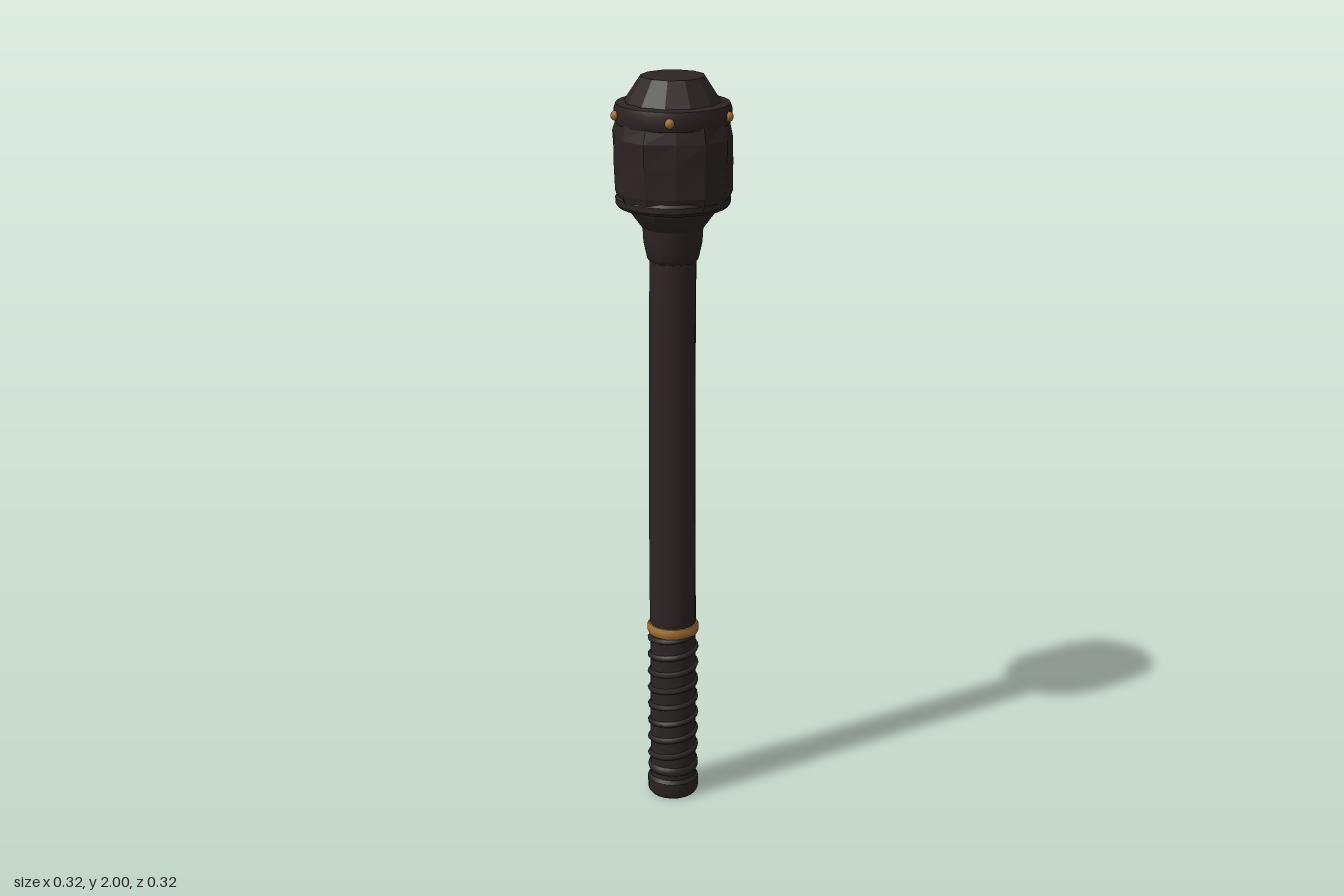
import * as THREE from 'three';
import { toCreasedNormals } from 'three/addons/utils/BufferGeometryUtils.js';

const mat = (name, color) => Object.assign(new THREE.MeshStandardMaterial({ color }), { name });

export function createModel() {
  const root = new THREE.Group();
  root.name = 'mace';
  const wood = mat('dark wood', 0x2e2424);
  const leather = mat('dark leather', 0x2c2624);
  const brass = mat('aged brass', 0xa06e32);
  const CX = -0.004;

  const add = (name, geometry, material, x = CX, y = 0, z = 0, parent = root) => {
    const m = new THREE.Mesh(geometry, material);
    m.name = name;
    m.position.set(x, y, z);
    parent.add(m);
    return m;
  };
  // Turned part from [radius, y] pairs, bottom to top
  const turned = (pts, sides, crease = 0.6) => toCreasedNormals(
    new THREE.LatheGeometry(pts.map(p => new THREE.Vector2(...p)), sides), crease);

  // Shaft with a slight bow
  const shaft = new THREE.CylinderGeometry(0.061, 0.063, 1.06, 16, 6);
  const sp = shaft.attributes.position;
  for (let i = 0; i < sp.count; i++) {
    const t = sp.getY(i) / 1.06 + 0.5;
    sp.setX(i, sp.getX(i) - 0.004 * Math.sin(Math.PI * t));
  }
  shaft.computeVertexNormals();
  add('shaft', toCreasedNormals(shaft, 0.6), wood, CX, 1.01);

  // Grip: core, spiral wrap and pommel
  add('gripCore', new THREE.CylinderGeometry(0.062, 0.062, 0.45, 20), leather, CX, 0.265);
  const spiral = [];
  const turns = 8;
  for (let i = 0; i <= turns * 14; i++) {
    const a = i / 14 * Math.PI * 2;
    spiral.push(new THREE.Vector3(0.061 * Math.sin(a), 0.085 + 0.395 * i / (turns * 14), 0.061 * Math.cos(a)));
  }
  add('gripWrap', new THREE.TubeGeometry(new THREE.CatmullRomCurve3(spiral), turns * 20, 0.009, 6), leather);
  add('pommel', turned([[0, 0], [0.062, 0], [0.069, 0.01], [0.07, 0.045], [0.063, 0.055], [0, 0.055]], 20), wood);
  const ring = (name, r, tube, y, squash, material) => {
    const g = new THREE.TorusGeometry(r, tube, 8, 28).rotateX(Math.PI / 2).scale(1, squash, 1);
    return add(name, g, material, CX, y);
  };
  ring('pommelRing', 0.058, 0.011, 0.08, 1.3, leather);

  // Brass collar above the grip
  add('collar', turned([[0.058, 0.478], [0.067, 0.48], [0.07, 0.488], [0.07, 0.5], [0.066, 0.508], [0.058, 0.51]], 24), brass);

  // Flared neck below the head
  add('neck', turned([[0.061, 1.52], [0.068, 1.53], [0.078, 1.575], [0.08, 1.61], [0.113, 1.655], [0.118, 1.68]], 14, 0.5), wood);

  // Head: hewn, irregular block
  const outline = [[0.015, -0.165], [-0.06, -0.155], [-0.115, -0.105], [-0.158, -0.04], [-0.16, 0.032],
    [-0.115, 0.1], [-0.057, 0.15], [0.015, 0.161], [0.082, 0.13], [0.135, 0.066], [0.157, 0], [0.13, -0.075], [0.085, -0.132]];
  const rings = [[1.672, 0.9], [1.71, 0.975], [1.79, 0.985], [1.85, 0.99], [1.89, 0.92]];
  const n = outline.length;
  const verts = [], index = [];
  rings.forEach(([y, s], j) => {
    outline.forEach(([x, z], i) => {
      const k = s + 0.014 * Math.sin(i * 2.3 + j * 1.7);
      verts.push(x * k, y, z * k);
      if (j) {
        const a = (j - 1) * n + i, b = (j - 1) * n + (i + 1) % n;
        index.push(a, b, b + n, a, b + n, a + n);
      }
    });
  });
  const top = verts.length / 3;
  verts.push(0, 1.89, 0, 0, 1.672, 0);
  for (let i = 0; i < n; i++) {
    const j = (i + 1) % n, q = (rings.length - 1) * n;
    index.push(q + i, q + j, top, j, i, top + 1);
  }
  const block = new THREE.BufferGeometry();
  block.setAttribute('position', new THREE.Float32BufferAttribute(verts, 3));
  block.setIndex(index);
  const hewn = block.toNonIndexed();
  hewn.computeVertexNormals();
  add('headBlock', hewn, wood, 0);

  // Bands around the head
  add('upperBand', turned([[0.13, 1.878], [0.146, 1.882], [0.15, 1.895], [0.15, 1.92], [0.146, 1.932], [0.12, 1.936]], 28), wood);
  add('lowerBand', turned([[0.1, 1.664], [0.142, 1.667], [0.148, 1.675], [0.148, 1.69], [0.142, 1.698], [0.13, 1.7]], 28), wood);

  // Faceted cap
  add('cap', turned([[0.128, 1.925], [0.125, 1.936], [0.083, 2], [0, 2]], 12, 0.1), wood);

  // Brass studs on the upper band
  const studs = new THREE.Group();
  studs.name = 'studs';
  root.add(studs);
  for (let i = 0; i < 5; i++) {
    const a = i / 5 * Math.PI * 2;
    add('stud', new THREE.SphereGeometry(0.013, 10, 8), brass,
      CX + 0.15 * Math.cos(a), 1.905, 0.15 * Math.sin(a), studs);
  }
  return root;
}
